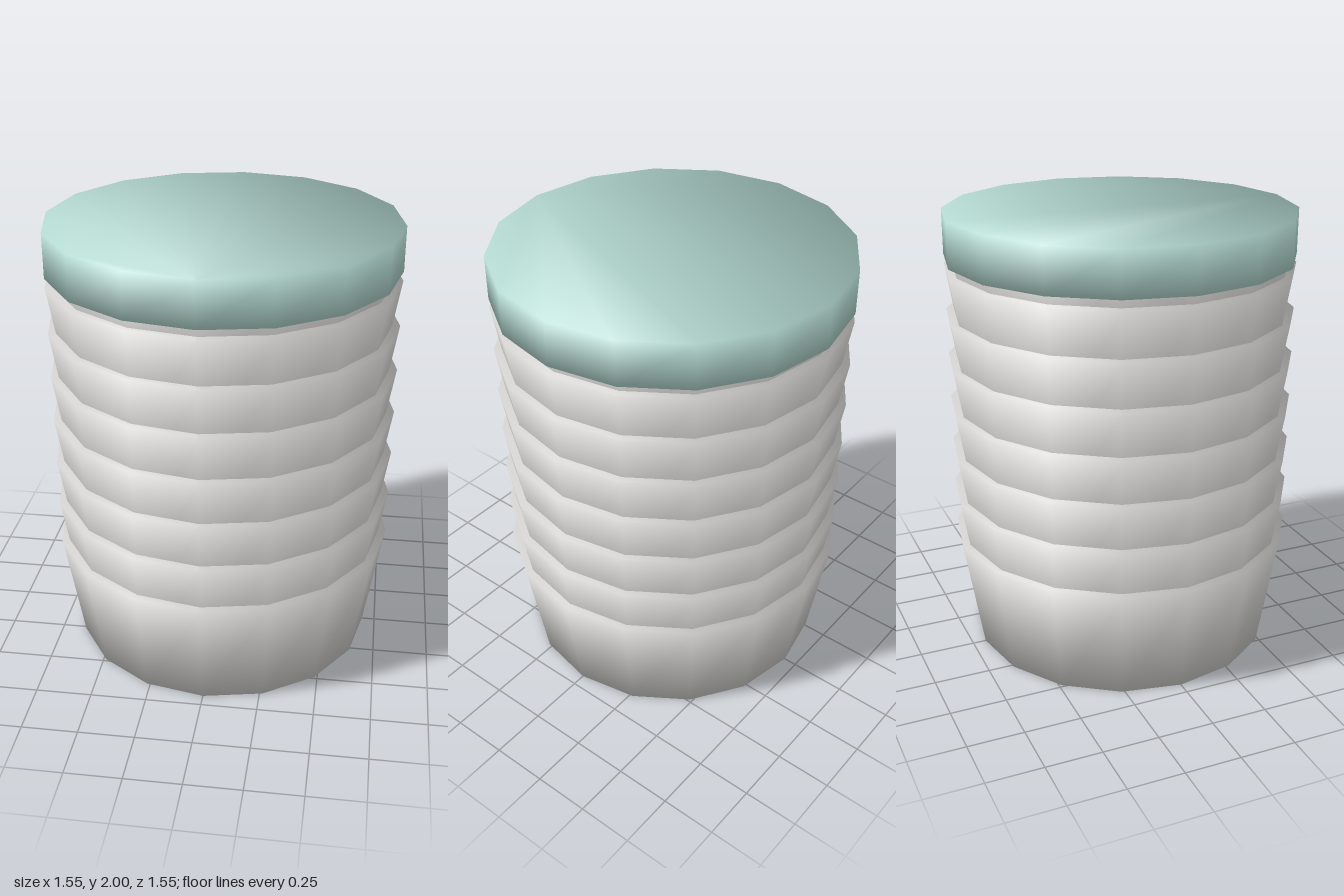
import * as THREE from 'three';

const SIDES = 16;
const CUP_COUNT = 8;
const CUP_STEP = 0.207;
const CUP_HEIGHT = 0.517;

// Closed tapered drum whose normals are blended smoothly across both rims.
function softDrum(bottomRadius, topRadius, height) {
  const position = [], normal = [], index = [];
  const slope = Math.atan2(topRadius - bottomRadius, height);
  const capWeight = 1 - 2 / SIDES; // corner angle of the cap against the two side corners
  for (const [radius, y, up] of [[bottomRadius, 0, -1], [topRadius, height, 1]]) {
    const n = new THREE.Vector2(Math.cos(slope), capWeight * up - Math.sin(slope)).normalize();
    for (let i = 0; i < SIDES; i++) {
      const a = (i / SIDES) * Math.PI * 2;
      position.push(radius * Math.sin(a), y, radius * Math.cos(a));
      normal.push(n.x * Math.sin(a), n.y, n.x * Math.cos(a));
    }
  }
  // side wall
  for (let i = 0; i < SIDES; i++) {
    const j = (i + 1) % SIDES;
    index.push(i, j, SIDES + j, i, SIDES + j, SIDES + i);
  }
  // flat bottom and top
  for (let i = 1; i < SIDES - 1; i++) {
    index.push(0, i + 1, i, SIDES, SIDES + i, SIDES + i + 1);
  }
  const geometry = new THREE.BufferGeometry();
  geometry.setAttribute('position', new THREE.Float32BufferAttribute(position, 3));
  geometry.setAttribute('normal', new THREE.Float32BufferAttribute(normal, 3));
  geometry.setIndex(index);
  return geometry;
}

export function createModel() {
  const model = new THREE.Group();
  model.name = 'cupStack';

  const cupGrey = new THREE.MeshStandardMaterial({ color: 0xd2d1cf });
  cupGrey.name = 'cupGrey';
  const lidMint = new THREE.MeshStandardMaterial({ color: 0xb3d8d0 });
  lidMint.name = 'lidMint';

  // nested cups, each rising a step above the one below
  const cupGeometry = softDrum(0.69, 0.775, CUP_HEIGHT);
  for (let i = 0; i < CUP_COUNT; i++) {
    const cup = new THREE.Mesh(cupGeometry, cupGrey);
    cup.name = `cup${i + 1}`;
    cup.position.y = i * CUP_STEP;
    model.add(cup);
  }

  // lid over the topmost cup
  const lid = new THREE.Mesh(softDrum(0.775, 0.775, 0.2), lidMint);
  lid.name = 'lid';
  lid.position.y = 1.8;
  model.add(lid);

  return model;
}
